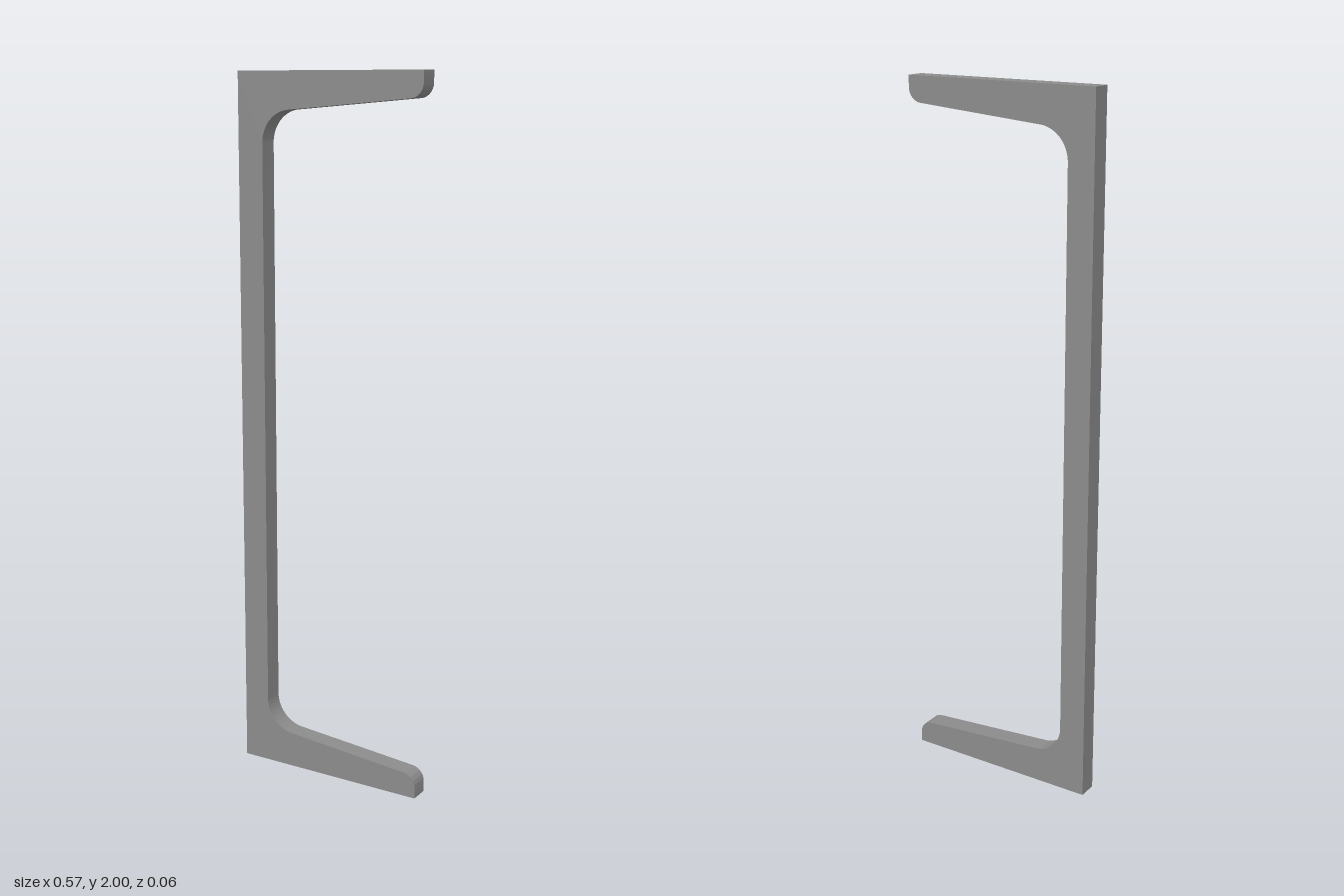
import * as THREE from 'three';
import { toCreasedNormals } from 'three/addons/utils/BufferGeometryUtils.js';

const HEIGHT = 2, HALF_WIDTH = 0.286, DEPTH = 0.056;
const WEB_INNER = -0.208; // inner face of the upright web
const SLOPE = 0.084; // taper of the flange inner faces
const flangeY = (x) => 0.092 - SLOPE * x;

// Cross-section of a tapered-flange channel
function channelShape() {
  const a = Math.atan(SLOPE), c = Math.cos(a);
  const toeR = 0.04, rootR = 0.09;
  const toeX = HALF_WIDTH - toeR, toeY = flangeY(toeX) - toeR / c;
  const rootX = WEB_INNER + rootR, rootY = flangeY(rootX) + rootR / c;

  const s = new THREE.Shape();
  s.moveTo(-HALF_WIDTH, 0);
  s.lineTo(HALF_WIDTH, 0);
  // lower flange: rounded toe, then root fillet
  s.absarc(toeX, toeY, toeR, 0, Math.PI / 2 - a, false);
  s.absarc(rootX, rootY, rootR, -Math.PI / 2 - a, -Math.PI, true);
  // upper flange: mirrored
  s.absarc(rootX, HEIGHT - rootY, rootR, Math.PI, Math.PI / 2 + a, true);
  s.absarc(toeX, HEIGHT - toeY, toeR, a - Math.PI / 2, 0, false);
  s.lineTo(HALF_WIDTH, HEIGHT);
  s.lineTo(-HALF_WIDTH, HEIGHT);
  s.closePath();
  return s;
}

export function createModel() {
  const group = new THREE.Group();
  group.name = 'channelSection';

  const steel = new THREE.MeshStandardMaterial({ color: 0x8c8c8c });
  steel.name = 'steel grey';

  // Slice of the channel, centred on z
  const geometry = new THREE.ExtrudeGeometry(channelShape(), {
    depth: DEPTH, bevelEnabled: false, curveSegments: 16,
  });
  geometry.translate(0, 0, -DEPTH / 2);
  const channel = new THREE.Mesh(toCreasedNormals(geometry, Math.PI / 6), steel);
  channel.name = 'channel';
  group.add(channel);
  return group;
}
